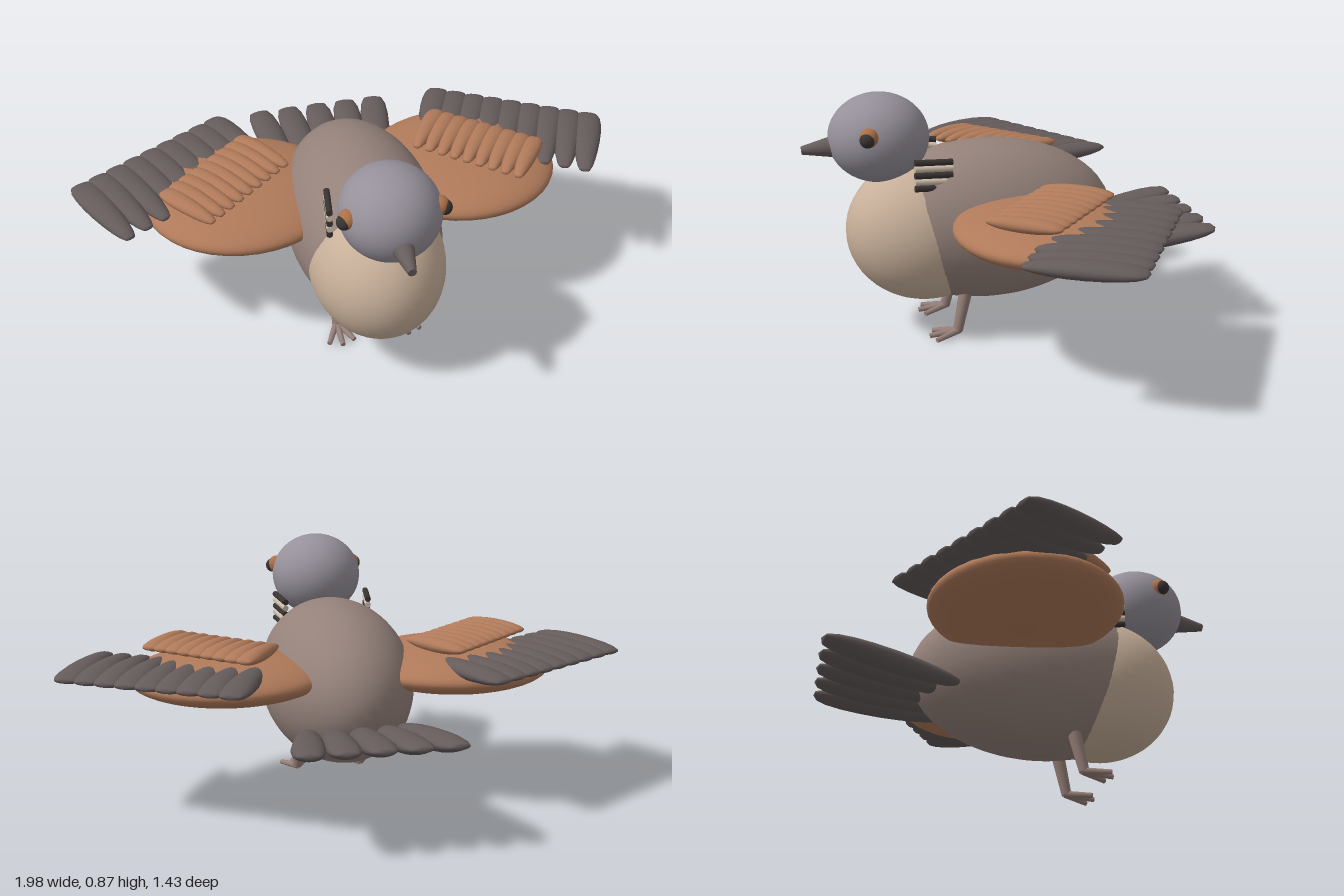
import * as THREE from 'three';
import { mergeVertices } from 'three/addons/utils/BufferGeometryUtils.js';

const mat = (name, color) => {
  const m = new THREE.MeshStandardMaterial({ color });
  m.name = name;
  return m;
};

// Feather with unit half-sizes, its tip at +z and widening towards the tip
function featherGeometry() {
  let g = new THREE.SphereGeometry(1, 16, 10).rotateX(Math.PI / 2);
  const p = g.attributes.position;
  for (let i = 0; i < p.count; i++) {
    const t = p.getZ(i);
    const r = Math.sqrt(Math.max(0, 1 - t * t));
    if (r > 0.01) p.setX(i, p.getX(i) * (0.84 + 0.26 * t) / Math.sqrt(r));
  }
  g.deleteAttribute('uv');
  g.deleteAttribute('normal');
  g = mergeVertices(g, 1e-4);
  g.computeVertexNormals();
  return g;
}

export function createModel() {
  const bird = new THREE.Group();
  bird.name = 'bird';

  const brown = mat('body brown', 0x94817a);
  const cream = mat('breast cream', 0xc8b09a);
  const grey = mat('head grey', 0x96909a);
  const rust = mat('wing rust', 0xb07a5a);
  const dark = mat('feather grey', 0x655b5b);
  const horn = mat('beak grey', 0x665d5c);
  const black = mat('dark', 0x383432);
  const amber = mat('eye amber', 0xac7146);
  const pale = mat('pale stripe', 0xcdbba9);
  const skin = mat('leg skin', 0x967f78);

  const add = (parent, name, geo, material) => {
    const m = new THREE.Mesh(geo, material);
    m.name = name;
    parent.add(m);
    return m;
  };

  const ball = new THREE.SphereGeometry(1, 40, 28);
  const ellipsoid = (parent, name, material, pos, size) => {
    const m = add(parent, name, ball, material);
    m.position.set(...pos);
    m.scale.set(...size);
    return m;
  };

  // Tapered rod from a to b
  const rod = (parent, name, material, a, b, ra, rb, sides = 14) => {
    const from = new THREE.Vector3(...a), to = new THREE.Vector3(...b);
    const dir = to.clone().sub(from);
    const m = add(parent, name, new THREE.CylinderGeometry(rb, ra, dir.length(), sides), material);
    m.position.copy(from).add(to).multiplyScalar(0.5);
    m.quaternion.setFromUnitVectors(new THREE.Vector3(0, 1, 0), dir.normalize());
    return m;
  };

  const featherGeo = featherGeometry();
  const feather = (parent, name, material, pos, size, yaw, pitch = 0) => {
    const m = add(parent, name, featherGeo, material);
    m.position.set(...pos);
    m.scale.set(...size);
    m.rotation.set(pitch, yaw, 0, 'YXZ');
  };

  // Body and head
  ellipsoid(bird, 'body', brown, [0, 0.4, 0.07], [0.27, 0.287, 0.46]);
  ellipsoid(bird, 'breast', cream, [0, 0.378, 0.29], [0.236, 0.259, 0.285]);
  ellipsoid(bird, 'head', grey, [0, 0.718, 0.45], [0.168, 0.155, 0.175]);
  rod(bird, 'beak', horn, [0, 0.695, 0.58], [0, 0.685, 0.715], 0.043, 0.014, 20);

  // Tail fan
  const tail = new THREE.Group();
  tail.name = 'tail';
  bird.add(tail);
  for (let i = -2; i <= 2; i++) {
    feather(tail, 'tailFeather', dark, [i * 0.099, 0.335, -0.47],
      [0.062, 0.036, 0.248], Math.PI - i * 0.085, -0.17);
  }

  for (const s of [1, -1]) {
    const side = s > 0 ? 'left' : 'right';

    // Eyes
    ellipsoid(bird, side + 'Iris', amber, [s * 0.147, 0.752, 0.5], [0.033, 0.033, 0.033]);
    ellipsoid(bird, side + 'Pupil', black, [s * 0.162, 0.748, 0.507], [0.025, 0.026, 0.026]);

    // Neck stripes, dark and pale in turn
    for (let i = 0; i < 5; i++) {
      const y = 0.66 - i * 0.0225;
      rod(bird, side + 'NeckStripe', i % 2 ? pale : black,
        [s * 0.156, y - 0.004, 0.222], [s * 0.175, y + 0.004, 0.354], 0.011, 0.011, 10);
    }

    // Wing
    const wing = new THREE.Group();
    wing.name = side + 'Wing';
    bird.add(wing);
    ellipsoid(wing, 'wingBase', rust, [s * 0.4, 0.474, -0.06], [0.35, 0.08, 0.325]);
    for (let i = 0; i < 9; i++) {
      const t = i / 8;
      feather(wing, 'flightFeather', dark,
        [s * (0.375 + 0.51 * t), 0.514, -0.325 + 0.3 * t],
        [0.058, 0.03, 0.19], s * (Math.PI - 0.42));
    }
    for (let i = 0; i < 9; i++) {
      const t = i / 8;
      feather(wing, 'covertFeather', rust,
        [s * (0.31 + 0.295 * t), 0.567, -0.17 + 0.255 * t],
        [0.04, 0.025, 0.13], s * (Math.PI - 0.6));
    }

    // Leg and toes
    const leg = new THREE.Group();
    leg.name = side + 'Leg';
    bird.add(leg);
    rod(leg, 'shank', skin, [s * 0.115, 0.19, 0.168], [s * 0.123, 0.022, 0.205], 0.025, 0.018);
    for (const k of [-1, 0, 1]) {
      rod(leg, 'toe', skin, [s * 0.123, 0.024, 0.198],
        [s * 0.123 + k * 0.046, 0.011, k ? 0.288 : 0.306], 0.013, 0.009, 10);
    }
  }
  return bird;
}
